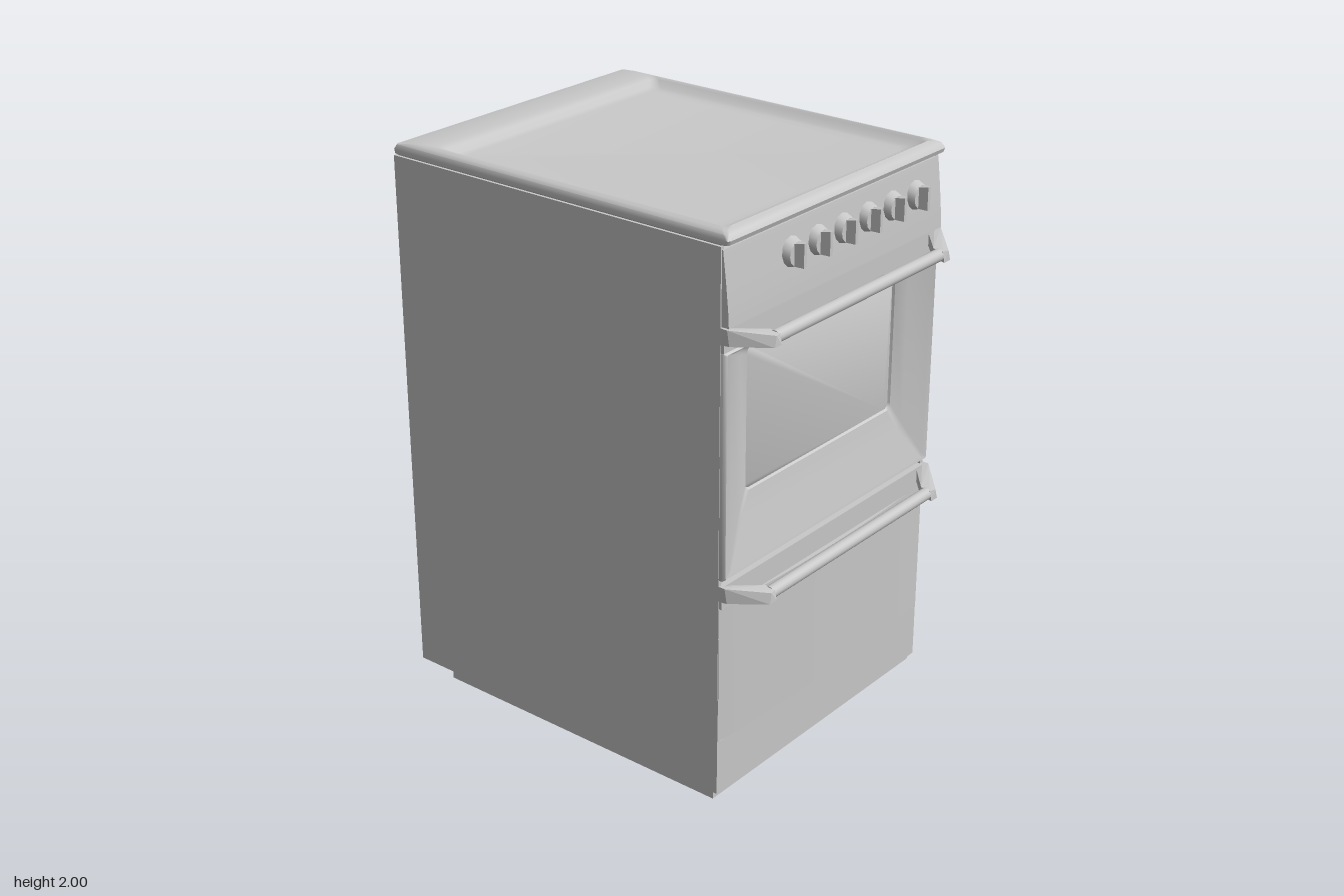
import * as THREE from 'three';
import { toCreasedNormals } from 'three/addons/utils/BufferGeometryUtils.js';
import { ConvexGeometry } from 'three/addons/geometries/ConvexGeometry.js';

const V = (x, y, z) => new THREE.Vector3(x, y, z);

// Rounded rectangle, anticlockwise
function roundRect(x0, x1, y0, y1, r, n = 4) {
  const pts = [];
  [[x1 - r, y0 + r, -1], [x1 - r, y1 - r, 0], [x0 + r, y1 - r, 1], [x0 + r, y0 + r, 2]].forEach(([cx, cy, q]) => {
    for (let i = 0; i <= n; i++) {
      const a = (q + i / n) * Math.PI / 2;
      pts.push([cx + r * Math.cos(a), cy + r * Math.sin(a)]);
    }
  });
  return pts;
}

// Skin through rounded rectangles [x0, x1, y0, y1, radius, depth], facing +z
function loft(rings, capped) {
  const pos = [], idx = [], n = 20;
  rings.forEach(([x0, x1, y0, y1, r, d]) => roundRect(x0, x1, y0, y1, r).forEach(p => pos.push(p[0], p[1], d)));
  for (let k = 0; k < rings.length - 1; k++) {
    for (let j = 0; j < n; j++) {
      const a = k * n + j, b = k * n + (j + 1) % n;
      idx.push(a, b, b + n, a, b + n, a + n);
    }
  }
  const base = (rings.length - 1) * n;
  if (capped) for (let j = 1; j < n - 1; j++) idx.push(base, base + j, base + j + 1);
  const g = new THREE.BufferGeometry();
  g.setAttribute('position', new THREE.Float32BufferAttribute(pos, 3));
  g.setIndex(idx);
  return toCreasedNormals(g, 0.75);
}

export function createModel() {
  const model = new THREE.Group();
  model.name = 'cooker';
  const enamel = new THREE.MeshStandardMaterial({ color: 0xc8c8c8 });
  enamel.name = 'grey enamel';

  const add = (name, geometry, parent = model) => {
    const m = new THREE.Mesh(geometry, enamel);
    m.name = name;
    parent.add(m);
    return m;
  };
  const box = (name, x0, x1, y0, y1, z0, z1, parent) => {
    const g = new THREE.BoxGeometry(x1 - x0, y1 - y0, z1 - z0);
    g.translate((x0 + x1) / 2, (y0 + y1) / 2, (z0 + z1) / 2);
    return add(name, g, parent);
  };

  // Carcass, open at the lower back
  box('leftSide', 0.565, 0.58, 0.03, 1.95, -0.75, 0.62);
  box('rightSide', -0.58, -0.565, 0.03, 1.95, -0.75, 0.62);
  box('upperBody', -0.565, 0.565, 0.98, 1.95, -0.745, 0.55);
  box('lowerBody', -0.565, 0.565, 0.16, 0.98, -0.62, 0.55);
  box('bottomBody', -0.565, 0.565, 0.04, 0.16, -0.5, 0.55);
  box('floorPanel', -0.565, 0.565, 0.03, 0.045, -0.62, 0.55);
  box('plinth', -0.575, 0.575, 0, 0.03, -0.6, 0.6);
  box('kickPanel', -0.565, 0.565, 0.03, 0.228, 0.54, 0.62);

  // Hob with rolled rim, wide rear ledge and sunken pan
  const hob = loft([
    [-0.57, 0.57, -0.62, 0.745, 0.01, 1.95],
    [-0.58, 0.58, -0.645, 0.75, 0.012, 1.957],
    [-0.582, 0.582, -0.65, 0.752, 0.012, 1.972],
    [-0.575, 0.575, -0.64, 0.745, 0.014, 1.988],
    [-0.56, 0.56, -0.625, 0.7, 0.02, 1.996],
    [-0.545, 0.545, -0.612, 0.6, 0.025, 2.0],
    [-0.535, 0.535, -0.6, 0.568, 0.025, 1.993],
    [-0.515, 0.515, -0.58, 0.548, 0.03, 1.974],
    [-0.49, 0.49, -0.55, 0.52, 0.04, 1.97],
  ], true);
  hob.rotateX(-Math.PI / 2);
  add('hob', hob);

  // Sloping control panel
  const profile = [[0.54, 1.695], [0.648, 1.695], [0.645, 1.75], [0.636, 1.84], [0.624, 1.94], [0.54, 1.94]];
  const panelShape = new THREE.Shape(profile.map(([z, y]) => new THREE.Vector2(-z, y)));
  const panel = new THREE.ExtrudeGeometry(panelShape, { depth: 1.15, bevelEnabled: false });
  panel.rotateY(Math.PI / 2);
  panel.translate(-0.575, 0, 0);
  add('controlPanel', toCreasedNormals(panel, 0.5));

  // Six knobs with a tapered grip
  for (let i = 0; i < 6; i++) {
    const knob = new THREE.Group();
    knob.name = 'knob' + (i + 1);
    knob.position.set(-0.25 + i * 0.136, 1.842, 0.632);
    const dial = new THREE.CylinderGeometry(0.04, 0.052, 0.03, 12);
    dial.rotateX(Math.PI / 2);
    dial.translate(0, 0, 0.012);
    add('dial', toCreasedNormals(dial, 0.6), knob);
    const grip = [];
    for (const s of [-1, 1]) {
      grip.push(V(s * 0.02, 0.036, 0.02), V(s * 0.02, -0.036, 0.02));
      grip.push(V(s * 0.007, 0.04, 0.056), V(s * 0.007, -0.04, 0.056));
    }
    add('grip', new ConvexGeometry(grip), knob);
    model.add(knob);
  }

  // Oven door sloping in to a recessed window
  add('ovenDoor', loft([
    [-0.578, 0.578, 0.83, 1.612, 0.006, 0.54],
    [-0.578, 0.578, 0.83, 1.612, 0.006, 0.63],
    [-0.57, 0.57, 0.838, 1.606, 0.006, 0.64],
    [-0.545, 0.545, 0.85, 1.602, 0.01, 0.637],
    [-0.46, 0.46, 0.98, 1.58, 0.02, 0.602],
    [-0.405, 0.405, 1.068, 1.565, 0.022, 0.588],
    [-0.4, 0.4, 1.073, 1.56, 0.022, 0.58],
  ], false));
  add('ovenWindow', loft([
    [-0.402, 0.402, 1.071, 1.562, 0.022, 0.578],
    [-0.4, 0.4, 1.073, 1.56, 0.022, 0.58],
  ], true));

  // Drawer with a gently bowed front
  const bow = new THREE.Shape();
  bow.moveTo(-0.578, -0.54);
  bow.lineTo(-0.578, -0.622);
  bow.quadraticCurveTo(0, -0.668, 0.578, -0.622);
  bow.lineTo(0.578, -0.54);
  bow.closePath();
  const drawer = new THREE.ExtrudeGeometry(bow, { depth: 0.495, bevelEnabled: false, curveSegments: 20 });
  drawer.rotateX(-Math.PI / 2);
  drawer.translate(0, 0.233, 0);
  add('drawerFront', toCreasedNormals(drawer, 0.5));

  // Handle rails, brackets and bars for door and drawer
  for (const [name, y] of [['doorHandle', 1.65], ['drawerHandle', 0.77]]) {
    const handle = new THREE.Group();
    handle.name = name;
    handle.position.y = y;
    box('rail', -0.578, 0.578, -0.04, 0.04, 0.54, 0.632, handle);
    for (const s of [-1, 1]) {
      const pts = [
        [0.58, 0.042, 0.62], [0.58, -0.012, 0.62], [0.58, 0.042, 0.645], [0.575, -0.012, 0.65],
        [0.53, 0.03, 0.63], [0.53, -0.012, 0.63],
        [0.47, 0.016, 0.748], [0.48, -0.02, 0.75], [0.445, 0.016, 0.742],
        [0.445, -0.02, 0.75], [0.445, 0.02, 0.705], [0.445, -0.014, 0.705],
      ].map(p => V(s * p[0], p[1], p[2]));
      add(s > 0 ? 'leftBracket' : 'rightBracket', new ConvexGeometry(pts), handle);
    }
    const bar = new THREE.CylinderGeometry(0.022, 0.022, 0.9, 16);
    bar.rotateZ(Math.PI / 2);
    bar.translate(0, 0, 0.724);
    add('bar', bar, handle);
    model.add(handle);
  }

  return model;
}
